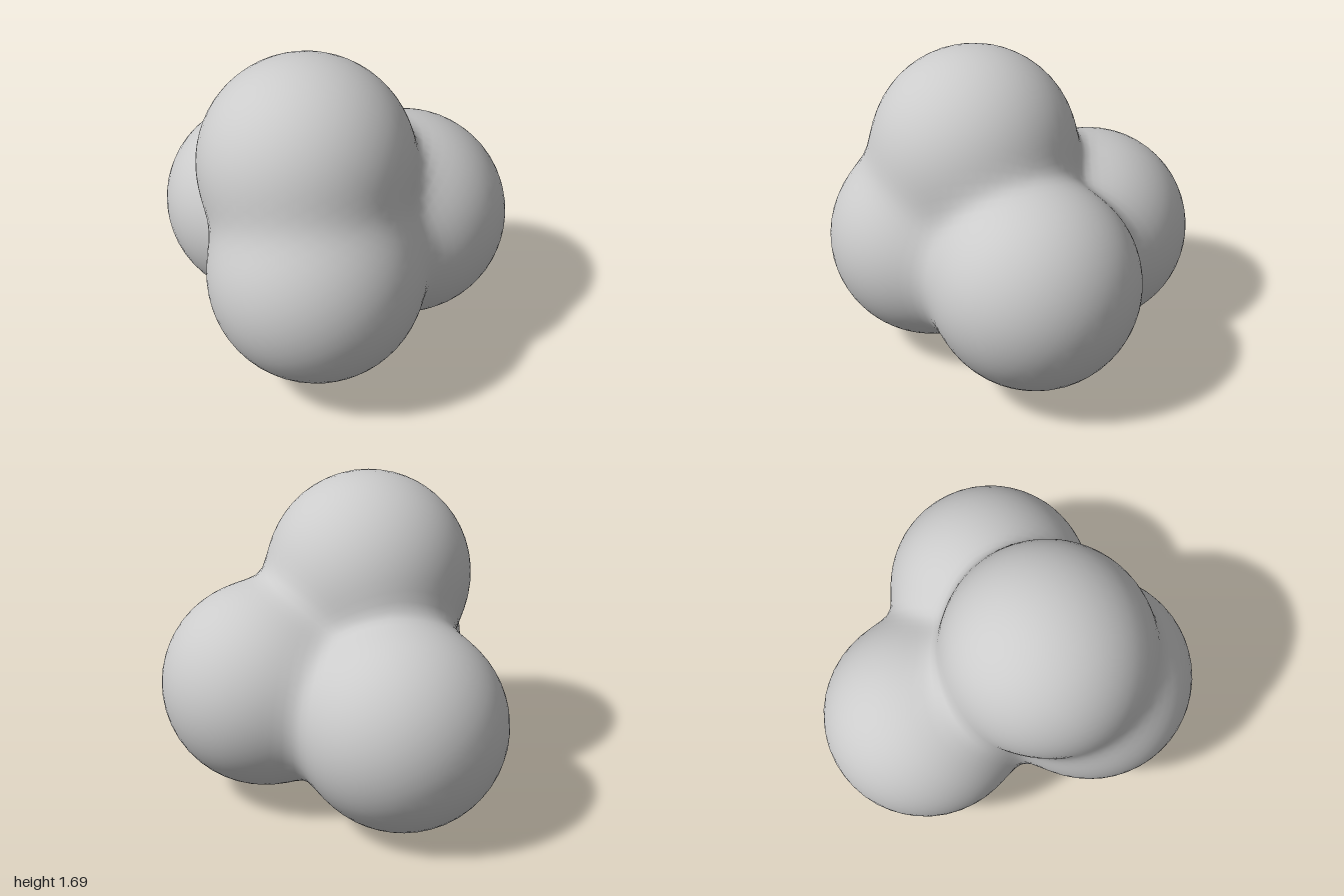
import * as THREE from 'three';
import { mergeVertices } from 'three/addons/utils/BufferGeometryUtils.js';

// Four equal balls, packed as a tetrahedron and softly fused
const RADIUS = 0.55;
const BLEND = 0.055;
const balls = [
  new THREE.Vector3(-0.28, 1.15, 0.21), // top
  new THREE.Vector3(0.33, 0.63, 0.08), // left
  new THREE.Vector3(-0.33, 0.64, 0.45), // front
  new THREE.Vector3(-0.27, 0.555, -0.45), // back
];
// A point inside every ball, so each ray from it meets the skin once
const core = new THREE.Vector3(-0.12, 0.72, 0.05);

// Smooth union of the balls: negative inside, positive outside
function field(p) {
  let sum = 0;
  for (const c of balls) sum += Math.exp((RADIUS - p.distanceTo(c)) / BLEND);
  return -BLEND * Math.log(sum);
}

// Push a unit direction out from the core to the skin by bisection
function toSkin(dir) {
  const p = new THREE.Vector3();
  let near = 0, far = 2;
  for (let i = 0; i < 30; i++) {
    const mid = (near + far) / 2;
    p.copy(core).addScaledVector(dir, mid);
    if (field(p) < 0) near = mid; else far = mid;
  }
  return p;
}

export function createModel() {
  const group = new THREE.Group();
  group.name = 'fusedBalls';

  // Welded icosphere shaped into the blended skin
  let geometry = new THREE.IcosahedronGeometry(1, 15);
  geometry.deleteAttribute('uv');
  geometry.deleteAttribute('normal');
  geometry = mergeVertices(geometry, 1e-4);
  const pos = geometry.attributes.position;
  const v = new THREE.Vector3();
  for (let i = 0; i < pos.count; i++) {
    const p = toSkin(v.fromBufferAttribute(pos, i).normalize());
    pos.setXYZ(i, p.x, p.y, p.z);
  }
  geometry.computeVertexNormals();

  const skin = new THREE.Mesh(geometry, new THREE.MeshStandardMaterial({ color: 0xcccccc }));
  skin.name = 'blobSkin';
  group.add(skin);
  return group;
}
